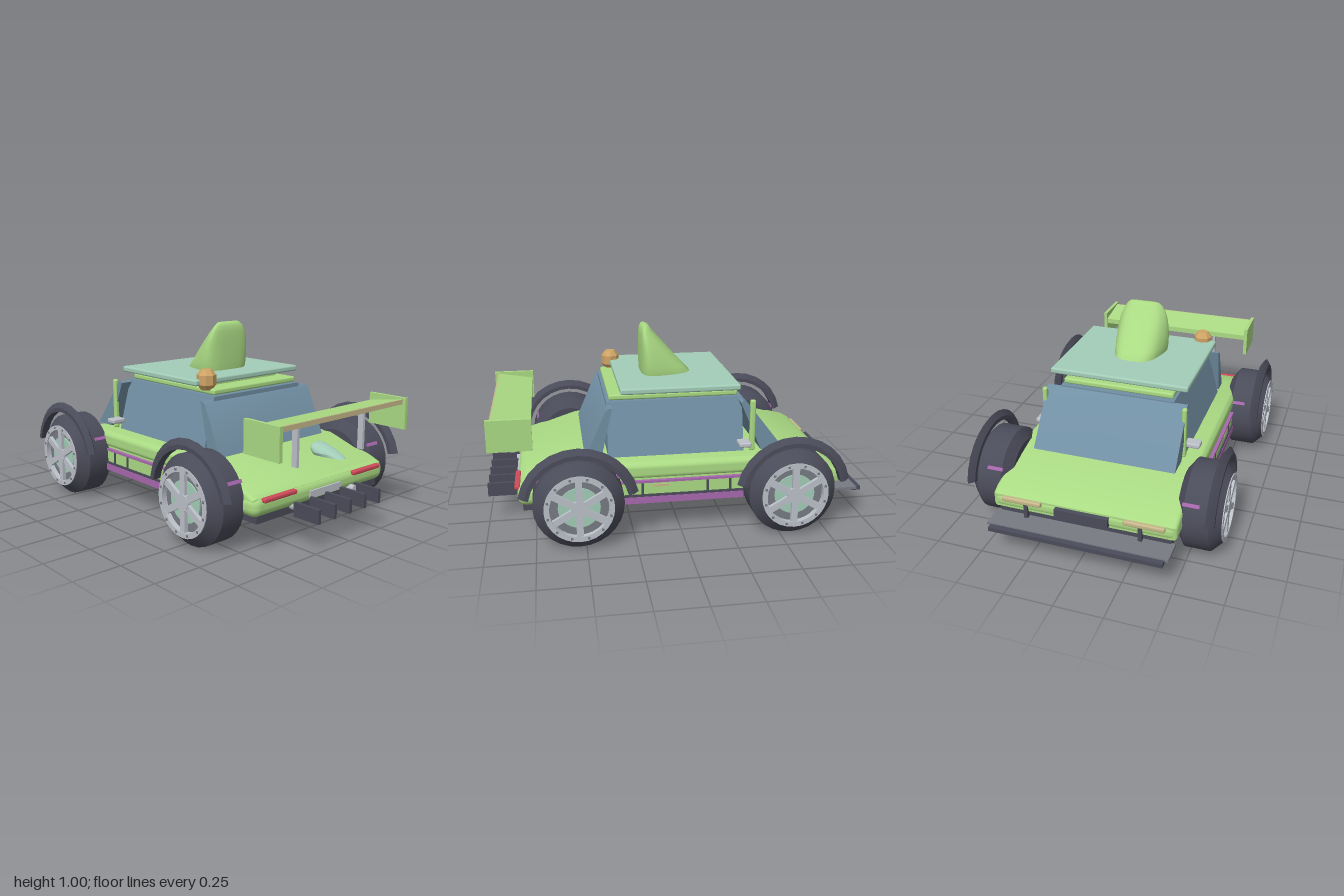
import * as THREE from 'three';
import { toCreasedNormals } from 'three/addons/utils/BufferGeometryUtils.js';
import { RoundedBoxGeometry } from 'three/addons/geometries/RoundedBoxGeometry.js';

const paint = (name, color) => {
  const m = new THREE.MeshStandardMaterial({ color });
  m.name = name;
  return m;
};

export function createModel() {
  const green = paint('greenPaint', 0xabdb84);
  const glass = paint('blueGlass', 0x718fa3);
  const teal = paint('paleTeal', 0xa3cdb8);
  const dark = paint('darkRubber', 0x4b4c5a);
  const purple = paint('purpleTrim', 0xa868ae);
  const red = paint('redLens', 0xcf4a58);
  const silver = paint('silver', 0xbcc1c9);
  const steel = paint('steel', 0x777b82);
  const amber = paint('amber', 0xd0a466);
  const cream = paint('creamLens', 0xc6b88a);
  dark.side = THREE.DoubleSide;

  const car = new THREE.Group();
  car.name = 'car';
  const add = (name, geo, mat, x = 0, y = 0, z = 0, parent = car) => {
    const m = new THREE.Mesh(geo, mat);
    m.name = name;
    m.position.set(x, y, z);
    parent.add(m);
    return m;
  };
  const box = (name, mat, w, h, d, x, y, z, parent) =>
    add(name, new THREE.BoxGeometry(w, h, d), mat, x, y, z, parent);
  const rounded = (name, mat, w, h, d, x, y, z, r) =>
    add(name, new RoundedBoxGeometry(w, h, d, 3, r), mat, x, y, z);

  // Side profile of [z, y] points, extruded across the car
  const across = (name, mat, pts, width, bevel = 0) => {
    const shape = new THREE.Shape(pts.map(p => new THREE.Vector2(...p)));
    const depth = width - 2 * bevel;
    const g = new THREE.ExtrudeGeometry(shape, {
      depth, bevelEnabled: bevel > 0, bevelSize: bevel, bevelOffset: -bevel,
      bevelThickness: bevel, bevelSegments: 3,
    });
    g.translate(0, 0, -depth / 2).rotateY(-Math.PI / 2);
    return add(name, toCreasedNormals(g, 0.6), mat);
  };

  // Rounded-square rings [y, half width, z min, z max], narrowing in x toward one end
  const loft = (rings, taper, n = 32) => {
    const pos = [], idx = [];
    const soft = v => Math.sign(v) * Math.pow(Math.abs(v), 0.62);
    for (const [y, hx, z0, z1] of rings) {
      for (let j = 0; j < n; j++) {
        const a = (j / n) * Math.PI * 2, s = soft(Math.sin(a));
        pos.push(hx * soft(Math.cos(a)) * (1 - taper * (0.5 - s / 2)), y, (z0 + z1) / 2 + s * (z1 - z0) / 2);
      }
    }
    const last = rings.length - 1;
    for (let i = 0; i < last; i++) {
      for (let j = 0; j < n; j++) {
        const k = (j + 1) % n, a = i * n, b = a + n;
        idx.push(a + j, b + j, a + k, a + k, b + j, b + k);
      }
    }
    const top = rings[last];
    pos.push(0, top[0], (top[2] + top[3]) / 2);
    for (let j = 0; j < n; j++) idx.push((last + 1) * n, last * n + (j + 1) % n, last * n + j);
    const g = new THREE.BufferGeometry();
    g.setAttribute('position', new THREE.Float32BufferAttribute(pos, 3));
    g.setIndex(idx);
    return toCreasedNormals(g, 0.7);
  };

  // Lathe turned so that its axis points along +x
  const turned = (pts, n = 28, start = 0, sweep = Math.PI * 2) =>
    toCreasedNormals(new THREE.LatheGeometry(pts.map(p => new THREE.Vector2(...p)), n, start, sweep)
      .rotateZ(-Math.PI / 2), 0.4);
  const disc = (r, w) => new THREE.CylinderGeometry(r, r, w, 28).rotateZ(Math.PI / 2);

  // Body shell and floor
  across('bodyShell', green, [[0.82, 0.2], [0.82, 0.27], [0.76, 0.295], [0.5, 0.38], [-0.5, 0.38],
    [-0.82, 0.295], [-0.865, 0.27], [-0.865, 0.2]], 0.965, 0.02);
  rounded('rearBumper', green, 0.98, 0.105, 0.2, 0, 0.228, 0.735, 0.045);
  rounded('frontBumper', green, 0.97, 0.09, 0.2, 0, 0.235, -0.77, 0.04);
  box('floor', dark, 0.9, 0.05, 1.66, 0, 0.168, -0.02);

  // Sills with trim and dividers
  for (const s of [-1, 1]) {
    rounded('sideShoulder', green, 0.1, 0.09, 0.95, s * 0.44, 0.332, 0.02, 0.03);
    box('sillPanel', green, 0.04, 0.07, 0.66, s * 0.475, 0.243, 0);
    box('upperTrim', purple, 0.05, 0.012, 0.66, s * 0.477, 0.281, 0);
    box('lowerTrim', purple, 0.07, 0.036, 0.66, s * 0.47, 0.182, 0);
    box('darkTrim', dark, 0.055, 0.012, 0.66, s * 0.475, 0.206, 0);
    for (const z of [0.2, -0.14, -0.26]) box('sillDivider', dark, 0.01, 0.07, 0.012, s * 0.494, 0.243, z);
    box('sideMarker', cream, 0.008, 0.012, 0.08, s * 0.497, 0.258, 0.105);
  }

  // Cabin glass, narrowing upward
  const cabin = new THREE.BoxGeometry(0.78, 0.29, 0.72);
  const cp = cabin.attributes.position;
  for (let i = 0; i < cp.count; i++) if (cp.getY(i) > 0) cp.setX(i, cp.getX(i) * 0.8);
  cabin.computeVertexNormals();
  add('cabinGlass', cabin, glass, 0, 0.515, 0.005);
  across('rearScreen', glass, [[0.485, 0.38], [0.375, 0.63], [0.355, 0.645], [0.34, 0.645], [0.4, 0.38]], 0.77);
  across('windscreen', glass, [[-0.575, 0.38], [-0.37, 0.645], [-0.35, 0.655], [-0.335, 0.645], [-0.45, 0.38]], 0.77);

  // Roof plates and scoop
  rounded('lowerRoof', green, 0.605, 0.03, 0.685, 0, 0.678, 0.008, 0.01);
  box('roofSpacer', green, 0.5, 0.03, 0.5, 0, 0.7, 0);
  rounded('roofPanel', teal, 0.755, 0.032, 0.63, 0, 0.726, -0.02, 0.01);
  add('roofScoop', loft([[0.7, 0.155, -0.135, 0.145], [0.735, 0.168, -0.13, 0.15], [0.78, 0.172, -0.085, 0.152],
    [0.83, 0.17, -0.04, 0.152], [0.9, 0.158, 0.022, 0.152], [0.95, 0.138, 0.066, 0.15],
    [0.98, 0.115, 0.09, 0.146], [0.995, 0.095, 0.1, 0.138], [1, 0.08, 0.108, 0.13]], 0.4), green);

  // Beacon lamp
  const beacon = new THREE.LatheGeometry([[0, -0.053], [0.028, -0.053], [0.05, -0.025], [0.05, 0.025],
    [0.028, 0.053], [0, 0.053]].map(p => new THREE.Vector2(...p)), 8);
  add('beacon', toCreasedNormals(beacon, 0.2), amber, -0.3, 0.738, 0.29);

  // Posts and mirrors
  for (const s of [-1, 1]) {
    rounded('post', green, 0.026, 0.28, 0.03, s * 0.382, 0.518, -0.4, 0.01);
    rounded('mirror', silver, 0.08, 0.026, 0.065, s * 0.42, 0.433, -0.348, 0.008);
  }

  // Rear wing
  across('wingBlade', green, [[0.75, 0.57], [0.945, 0.605], [0.945, 0.632], [0.75, 0.6]], 0.93);
  box('wingEdge', cream, 0.93, 0.025, 0.008, 0, 0.619, 0.948);
  for (const s of [-1, 1]) {
    box('wingEndplate', green, 0.02, 0.165, 0.225, s * 0.468, 0.558, 0.858);
    box('wingStrut', silver, 0.016, 0.2, 0.032, s * 0.247, 0.49, 0.857);
  }
  add('rearFin', loft([[0.4, 0.03, 0.78, 0.95], [0.415, 0.036, 0.77, 0.92], [0.435, 0.034, 0.765, 0.87],
    [0.45, 0.025, 0.77, 0.82], [0.456, 0.014, 0.775, 0.8]], -0.8, 20), teal);

  // Tail details
  box('tailPlate', silver, 0.23, 0.038, 0.012, 0, 0.22, 0.838);
  for (const s of [-1, 1]) {
    rounded('tailLight', red, 0.22, 0.023, 0.03, s * 0.325, 0.261, 0.835, 0.008);
    add('exhaust', new THREE.CylinderGeometry(0.021, 0.021, 0.07, 16).rotateX(Math.PI / 2), silver, s * 0.21, 0.182, 0.825);
  }
  for (let i = -2; i <= 2; i++) box('diffuserFin', dark, 0.018, 0.072, 0.155, i * 0.114, 0.176, 0.922);

  // Nose details and splitter
  box('noseGrille', dark, 0.28, 0.05, 0.03, 0, 0.235, -0.875);
  for (const s of [-1, 1]) {
    rounded('headlight', cream, 0.21, 0.026, 0.03, s * 0.32, 0.256, -0.87, 0.008);
    box('splitterStay', dark, 0.02, 0.09, 0.02, s * 0.3, 0.195, -0.868);
  }
  box('splitter', steel, 0.94, 0.014, 0.13, 0, 0.158, -0.905);
  box('splitterLip', dark, 0.9, 0.022, 0.05, 0, 0.148, -0.975);

  // Wheels with arched guards
  const tyre = turned([[0, -0.1], [0.15, -0.11], [0.172, -0.11], [0.228, -0.07], [0.228, 0.06], [0.172, 0.115], [0.165, 0.08]]);
  const rim = turned([[0.174, 0.08], [0.174, 0.118], [0.147, 0.118], [0.147, 0.08]]);
  const guard = turned([[0.25, -0.022], [0.272, -0.022], [0.302, 0], [0.272, 0.022], [0.25, 0.022], [0.25, -0.022]],
    12, Math.PI + 0.2, Math.PI - 0.4);
  for (const s of [-1, 1]) {
    for (const z of [0.532, -0.56]) {
      const wheel = new THREE.Group();
      wheel.name = 'wheel';
      wheel.position.set(s * 0.552, 0.228, z);
      if (s < 0) wheel.rotation.y = Math.PI;
      car.add(wheel);
      add('tyre', tyre, dark, 0, 0, 0, wheel);
      add('rim', rim, silver, 0, 0, 0, wheel);
      add('wheelDisc', disc(0.168, 0.02), steel, 0.08, 0, 0, wheel);
      add('brakeDisc', disc(0.105, 0.01), teal, 0.092, 0, 0, wheel);
      add('hub', disc(0.042, 0.03), silver, 0.102, 0, 0, wheel);
      for (let i = 0; i < 3; i++) {
        box('spoke', silver, 0.02, 0.31, 0.034, 0.104, 0, 0, wheel).rotation.x = i * Math.PI / 3;
      }
      for (let i = 0; i < 12; i++) {
        const a = (i + 0.5) * Math.PI / 6;
        box('rimStud', steel, 0.006, 0.012, 0.012, 0.118, 0.16 * Math.cos(a), 0.16 * Math.sin(a), wheel);
      }
      add('wheelGuard', guard, dark, 0.073, 0, 0, wheel);
      for (const d of [-1, 1]) {
        box('tyreMark', purple, 0.085, 0.018, 0.009, -0.035, 0.113, d * 0.198, wheel).rotation.x = -d * 0.5;
      }
    }
  }
  return car;
}
